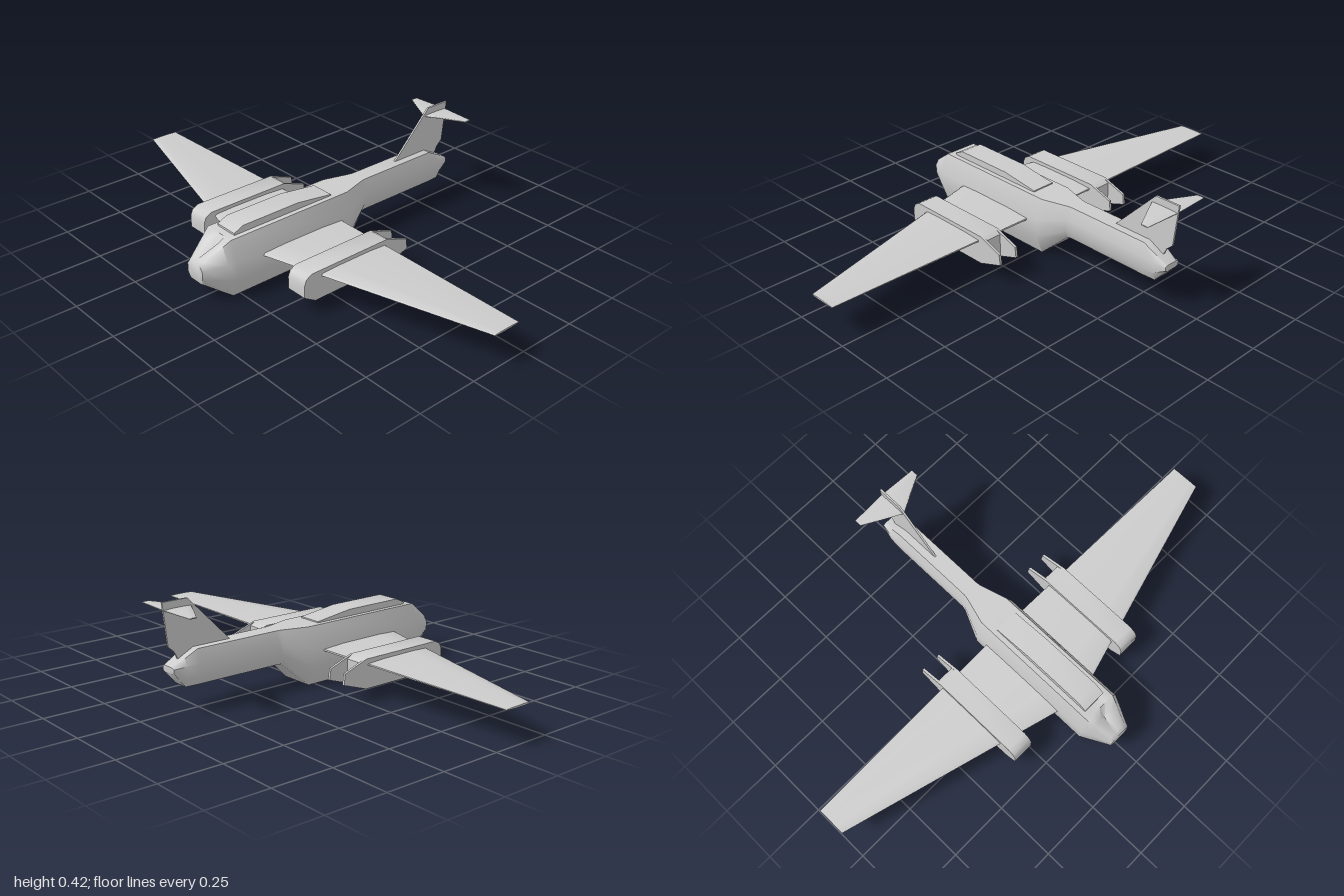
import * as THREE from 'three';
import { toCreasedNormals } from 'three/addons/utils/BufferGeometryUtils.js';

const material = new THREE.MeshStandardMaterial({ color: 0xcccccc });

function addMesh(parent, name, geometry) {
  const mesh = new THREE.Mesh(geometry, material);
  mesh.name = name;
  parent.add(mesh);
  return mesh;
}

// Skin a list of closed rings (equal point counts) and cap both ends.
// Rings run counter-clockwise seen from the side of the first ring.
function loft(rings, crease) {
  const n = rings[0].length;
  const index = [];
  for (let r = 0; r < rings.length - 1; r++) {
    for (let i = 0; i < n; i++) {
      const a = r * n + i, b = r * n + (i + 1) % n;
      index.push(a, a + n, b, b, a + n, b + n);
    }
  }
  const last = (rings.length - 1) * n;
  for (let i = 1; i < n - 1; i++) {
    index.push(0, i, i + 1, last, last + i + 1, last + i);
  }
  const geometry = new THREE.BufferGeometry();
  geometry.setAttribute('position', new THREE.Float32BufferAttribute(rings.flat(2), 3));
  geometry.setIndex(index);
  return toCreasedNormals(geometry, crease);
}

// Plate with a side outline of [z, y] points, centred on x.
function sidePlate(outline, width, x = 0) {
  const shape = new THREE.Shape(outline.map(([z, y]) => new THREE.Vector2(z, y)));
  const geometry = new THREE.ExtrudeGeometry(shape, { depth: width, bevelEnabled: false });
  geometry.rotateY(-Math.PI / 2).translate(x + width / 2, 0, 0);
  return toCreasedNormals(geometry, 0.8);
}

// Fuselage ring: chamfered box with an optional dip along the top centre.
function bodyRing([z, w, bottom, low, high, top, dip = 0]) {
  const c = 0.7 * w, m = 0.32 * w;
  return [
    [c, bottom, z], [w, low, z], [w, high, z], [c, top, z], [m, top, z],
    [0, top - dip, z],
    [-m, top, z], [-c, top, z], [-w, high, z], [-w, low, z], [-c, bottom, z],
  ];
}

// Thin airfoil ring at x, from leading to trailing edge.
function wingRing(x, lead, trail, y, thickness) {
  const h = thickness / 2;
  const at = (t, k) => [x, y + k * h, lead + (trail - lead) * t];
  return [
    at(0, 0), at(0.03, -0.7), at(0.25, -1), at(0.75, -0.9),
    at(1, -0.35), at(1, 0.35), at(0.75, 0.9), at(0.25, 1), at(0.03, 0.7),
  ];
}

export function createModel() {
  const model = new THREE.Group();
  model.name = 'aircraft';

  // Fuselage: [z, half width, bottom, lower side, upper side, top, dip]
  const sections = [
    [0.645, 0.045, 0.08, 0.1, 0.135, 0.155],
    [0.63, 0.052, 0.07, 0.097, 0.138, 0.166],
    [0.56, 0.086, 0.02, 0.085, 0.15, 0.214, 0.035],
    [0.53, 0.1, 0, 0.08, 0.155, 0.235],
    [-0.03, 0.1, 0, 0.08, 0.155, 0.235],
    [-0.14, 0.054, 0.1, 0.135, 0.18, 0.235],
    [-0.16, 0.05, 0.1, 0.135, 0.185, 0.235],
    [-0.52, 0.05, 0.1, 0.135, 0.185, 0.235],
    [-0.575, 0.046, 0.1, 0.135, 0.18, 0.207],
    [-0.625, 0.035, 0.155, 0.16, 0.175, 0.18],
  ];
  addMesh(model, 'fuselage', loft(sections.map(bodyRing), 1.0));

  // Raised fairing along the back
  const spine = [[0.5, 0.23], [0.5, 0.243], [0.46, 0.262], [0.2, 0.262], [0.035, 0.24], [0.035, 0.23]];
  addMesh(model, 'spineFairing', sidePlate(spine, 0.1));

  // Main wing, tip to tip
  addMesh(model, 'wing', loft([
    wingRing(1, 0.16, 0.04, 0.139, 0.007),
    wingRing(0, 0.438, 0.023, 0.138, 0.022),
    wingRing(-1, 0.16, 0.04, 0.139, 0.007),
  ], 0.9));

  // Engine nacelles with a pair of open side plates at the rear
  const body = [
    [0.42, 0.075], [0.42, 0.125], [0.41, 0.148], [0.385, 0.162], [0.02, 0.162],
    [-0.003, 0.148], [-0.003, 0.055], [0.02, 0.045], [0.37, 0.045],
  ];
  const rear = [[0.02, 0.045], [0.02, 0.162], [-0.085, 0.125], [-0.09, 0.082]];
  for (const [side, s] of [['left', 1], ['right', -1]]) {
    const nacelle = new THREE.Group();
    nacelle.name = `${side}Nacelle`;
    nacelle.position.x = 0.3 * s;
    addMesh(nacelle, 'engineBody', sidePlate(body, 0.09));
    for (const x of [-0.04, 0.04]) {
      addMesh(nacelle, 'exhaustPlate', sidePlate(rear, 0.01, x));
    }
    model.add(nacelle);
  }

  // Tail fin and high tailplane
  const fin = [
    [-0.355, 0.235], [-0.38, 0.22], [-0.58, 0.19], [-0.6, 0.23],
    [-0.625, 0.252], [-0.645, 0.42], [-0.538, 0.42],
  ];
  addMesh(model, 'tailFin', sidePlate(fin, 0.008));
  addMesh(model, 'tailplane', loft([
    wingRing(0.152, -0.6, -0.631, 0.388, 0.004),
    wingRing(0, -0.518, -0.638, 0.388, 0.008),
    wingRing(-0.152, -0.6, -0.631, 0.388, 0.004),
  ], 0.9));

  return model;
}
